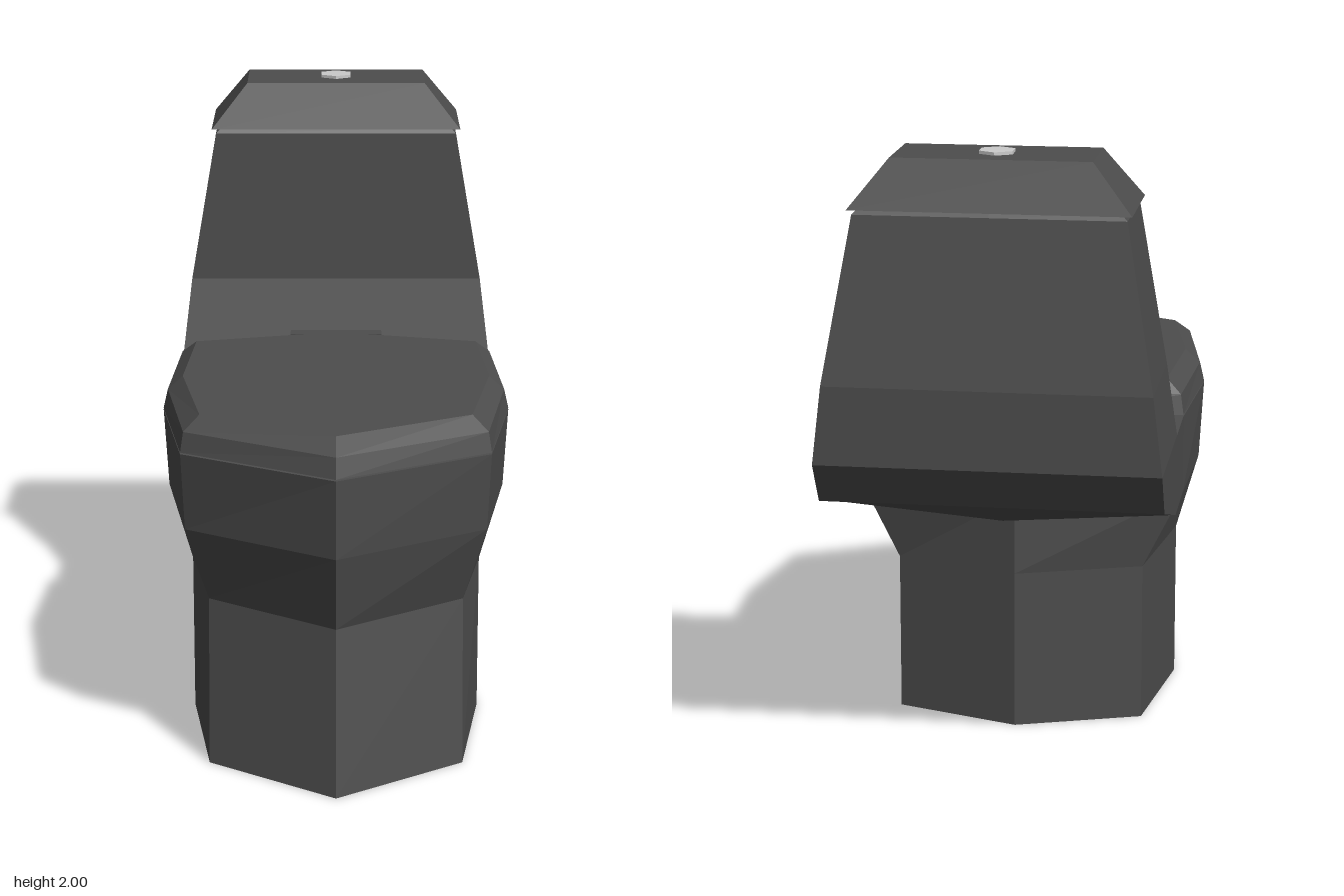
import * as THREE from 'three';

const dark = new THREE.MeshStandardMaterial({ color: 0x4d4d4d, flatShading: true });
const grey = new THREE.MeshStandardMaterial({ color: 0xcccccc, flatShading: true });

// Horizontal ring at height y; half holds [x, z] pairs from front to back on the +x side
function ring(y, half) {
  const left = half.map(([x, z]) => [x, y, z]);
  const right = half.filter(([x]) => x > 0).reverse().map(([x, z]) => [-x, y, z]);
  return [...left, ...right];
}

// Faceted solid through a stack of rings, closed at both ends
function loft(name, rings) {
  const pos = [];
  const tri = (a, b, c) => pos.push(...a, ...b, ...c);
  const n = rings[0].length;
  for (let r = 0; r < rings.length - 1; r++) {
    const lo = rings[r], hi = rings[r + 1];
    for (let i = 0; i < n; i++) {
      const j = (i + 1) % n;
      tri(lo[i], lo[j], hi[j]);
      tri(lo[i], hi[j], hi[i]);
    }
  }
  const bottom = rings[0], top = rings[rings.length - 1];
  for (let i = 1; i < n - 1; i++) {
    tri(bottom[0], bottom[i + 1], bottom[i]);
    tri(top[0], top[i], top[i + 1]);
  }
  const geo = new THREE.BufferGeometry();
  geo.setAttribute('position', new THREE.Float32BufferAttribute(pos, 3));
  geo.computeVertexNormals();
  const mesh = new THREE.Mesh(geo, dark);
  mesh.name = name;
  return mesh;
}

function box(name, w, h, d, x, y, z, tilt = 0) {
  const mesh = new THREE.Mesh(new THREE.BoxGeometry(w, h, d), dark);
  mesh.name = name;
  mesh.position.set(x, y, z);
  mesh.rotation.x = tilt;
  return mesh;
}

export function createModel() {
  const group = new THREE.Group();
  group.name = 'toilet';

  // Pedestal flaring into the bowl
  group.add(loft('bowl', [
    ring(0, [[0, 1], [0.41, 0.72], [0.48, 0.23], [0.41, -0.25], [0, -0.39]]),
    ring(0.53, [[0, 0.9], [0.41, 0.62], [0.48, 0.23], [0.41, -0.25], [0, -0.39]]),
    ring(0.79, [[0, 0.98], [0.48, 0.69], [0.555, 0.23], [0.54, -0.25], [0, -0.39]]),
    ring(1.05, [[0, 0.995], [0.49, 0.72], [0.57, 0.23], [0.54, -0.25], [0, -0.39]]),
  ]));

  // Rear shelf and cistern: [y, half width, front z, back z, back centre z]
  const tank = [
    [0.79, 0.54, -0.25, -0.51, -0.65],
    [0.91, 0.54, -0.25, -0.91, -0.91],
    [1.05, 0.54, -0.25, -1, -1],
    [1.05, 0.54, -0.49, -1, -1],
    [1.3, 0.51, -0.55, -1, -1],
    [1.82, 0.42, -0.555, -0.925, -0.925],
    [1.84, 0.4, -0.57, -0.91, -0.91],
  ];
  group.add(loft('tank', tank.map(([y, w, f, b, c]) => ring(y, [[w, f], [w, b], [0, c]]))));

  // Cistern lid and flush button
  group.add(loft('tankLid', [
    ring(1.835, [[0.435, -0.55], [0.435, -0.935]]),
    ring(1.99, [[0.31, -0.605], [0.31, -0.88]]),
  ]));
  const button = new THREE.Mesh(new THREE.CylinderGeometry(0.06, 0.06, 0.02, 6), grey);
  button.name = 'flushButton';
  button.position.set(0, 1.99, -0.745);
  group.add(button);

  // Seat and closed cover
  group.add(loft('seat', [
    ring(1.055, [[0, 0.995], [0.49, 0.72], [0.57, 0.23], [0.54, -0.25], [0, -0.39]]),
    ring(1.12, [[0, 0.975], [0.48, 0.71], [0.555, 0.23], [0.53, -0.24], [0, -0.37]]),
  ]));
  group.add(loft('seatCover', [
    ring(1.12, [[0, 0.975], [0.48, 0.71], [0.555, 0.23], [0.53, -0.235], [0, -0.36]]),
    ring(1.165, [[0, 0.9], [0.43, 0.67], [0.505, 0.23], [0.48, -0.2], [0, -0.32]]),
  ]));

  // Hinge block and the tab joining it to the cover
  group.add(box('hinge', 0.32, 0.08, 0.055, 0, 1.09, -0.452));
  group.add(box('hingeTab', 0.23, 0.03, 0.12, 0, 1.125, -0.375, -0.2));

  return group;
}
